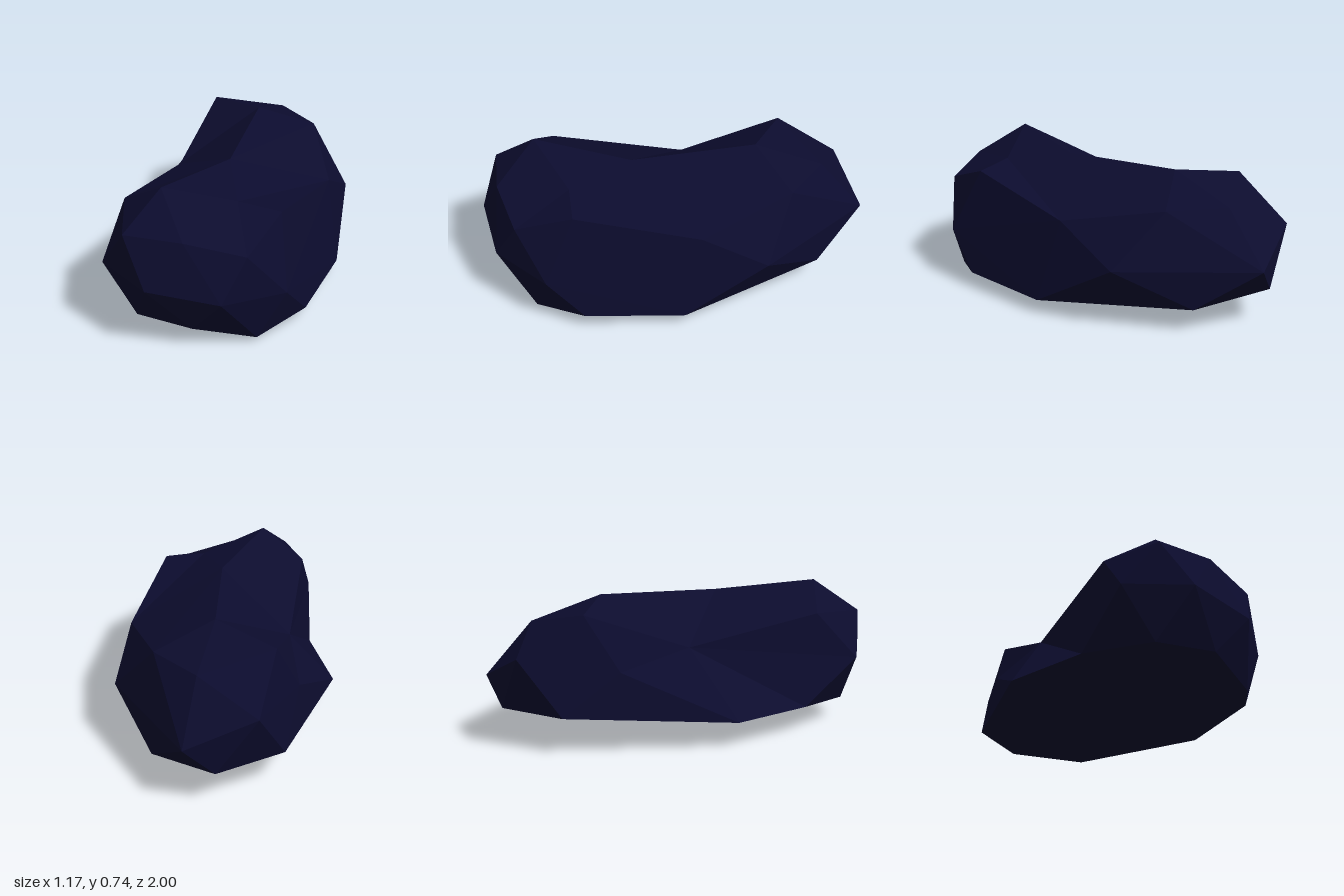
import * as THREE from 'three';
import { ConvexGeometry } from 'three/addons/geometries/ConvexGeometry.js';

// Corner points of the stone, grouped by region.
// A fourth value scales a corner while facets are chosen: above 1 it gains
// edges, so ridges do not bridge a hollow; below 1 it gives edges up.
const top = [
  [0, 0.74, 0.72], [0.05, 0.69, 0.2], [-0.155, 0.705, -0.42], [-0.5, 0.66, -0.52],
  [-0.2, 0.585, -0.77], [0.08, 0.585, -0.63], [0.27, 0.635, 0.48, 1.04],
  [0.475, 0.61, 0.42], [0.47, 0.51, 0.72], [0.22, 0.58, 0.87],
];
const front = [
  [-0.06, 0.58, 0.95], [-0.23, 0.36, 0.9], [0.09, 0.35, 1], [0.41, 0.3, 0.85],
  [0.24, 0.11, 0.84], [-0.06, 0.105, 0.87],
];
const leftSide = [
  [0.475, 0.03, 0.64], [0.585, 0.27, 0.55], [0.585, 0.08, 0.36],
  [0.4, 0, 0.27, 1.03], [0.5, 0.07, -0.14], [0.34, 0.31, -0.54], [0.4, 0.49, -0.21],
];
const rightSide = [
  [-0.25, 0.6, 0.68], [-0.335, 0.13, 0.61, 1.09], [-0.585, 0.13, 0.22],
  [-0.4, 0.47, 0, 1.08], [-0.565, 0.39, -0.35, 1.05], [-0.59, 0.18, -0.63], [-0.53, 0.46, -0.84],
];
const back = [[-0.22, 0.32, -1], [-0.35, 0.18, -0.92], [0.03, 0.12, -0.79, 0.87]];

// Facets are found on a unit sphere, then each corner moves to its real place,
// which allows shallow hollows between the ridges.
function facetedStone(corners) {
  const centre = new THREE.Vector3(0, 0.36, 0);
  const size = new THREE.Vector3(0.59, 0.37, 1);
  const onSphere = corners.map(([x, y, z, reach = 1]) =>
    new THREE.Vector3(x, y, z).sub(centre).divide(size).setLength(reach));
  const geometry = new ConvexGeometry(onSphere);
  const position = geometry.attributes.position;
  const p = new THREE.Vector3();
  for (let i = 0; i < position.count; i++) {
    p.fromBufferAttribute(position, i);
    let nearest = 0;
    onSphere.forEach((s, k) => {
      if (s.distanceToSquared(p) < onSphere[nearest].distanceToSquared(p)) nearest = k;
    });
    const [x, y, z] = corners[nearest];
    position.setXYZ(i, x, y, z);
  }
  geometry.computeVertexNormals();
  return geometry;
}

export function createModel() {
  const group = new THREE.Group();
  group.name = 'stone';
  const darkNavy = new THREE.MeshStandardMaterial({ color: 0x0c0c2e, flatShading: true });
  darkNavy.name = 'darkNavy';
  const corners = [...top, ...front, ...leftSide, ...rightSide, ...back];
  const body = new THREE.Mesh(facetedStone(corners), darkNavy);
  body.name = 'stoneBody';
  group.add(body);
  return group;
}
